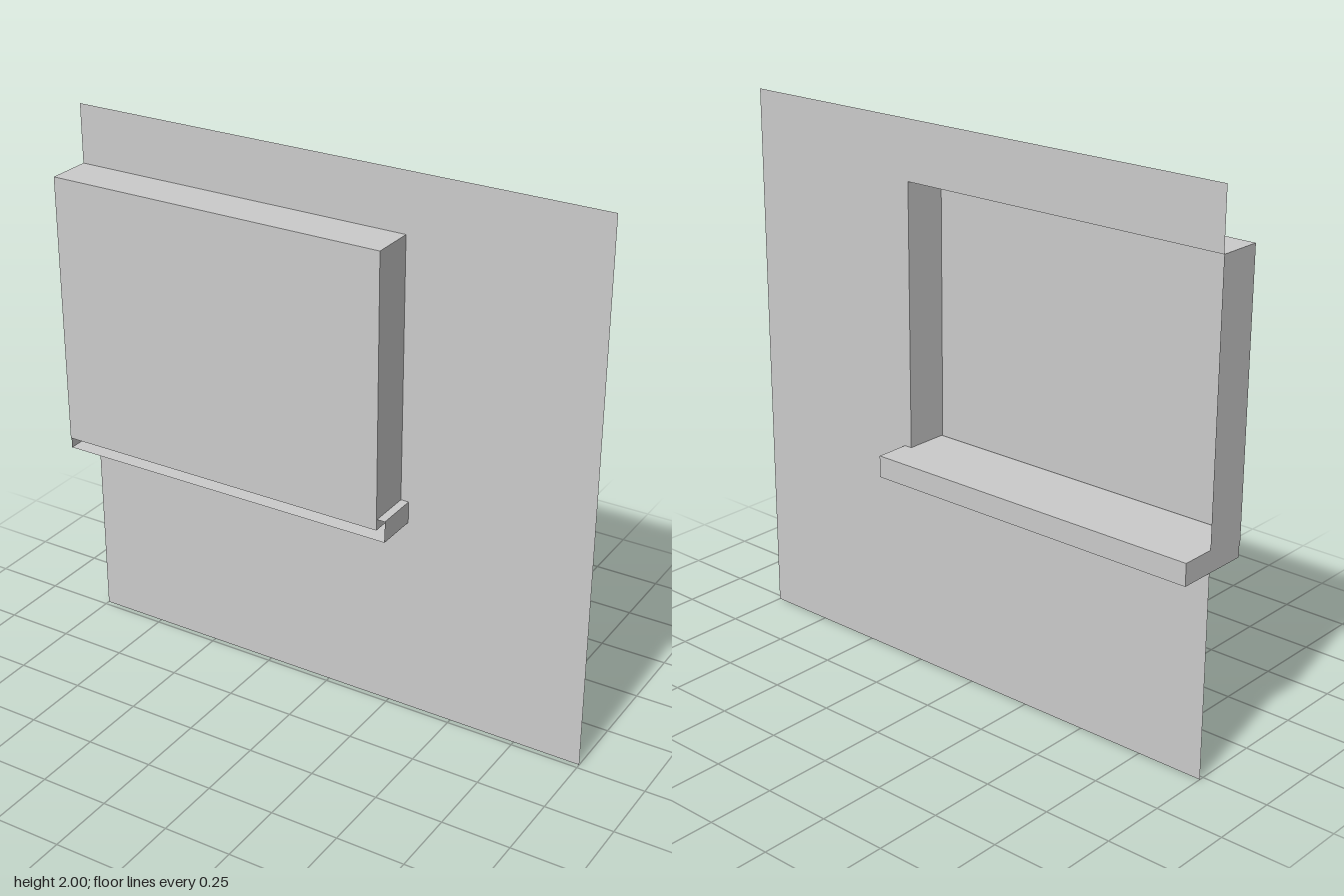
import * as THREE from 'three';

const material = new THREE.MeshStandardMaterial({ color: 0xcccccc, side: THREE.DoubleSide, flatShading: true });

// Recess opening and the planes in depth
const LEFT = -1, RIGHT = 0.285, BOTTOM = 0.785, TOP = 1.785;
const WALL_Z = -0.018, PANE_Z = 0.146;

// Flat rectangle, facing +z before rotation
function panel(name, w, h, pos, rot = [0, 0, 0]) {
  const mesh = new THREE.Mesh(new THREE.PlaneGeometry(w, h), material);
  mesh.name = name;
  mesh.position.set(...pos);
  mesh.rotation.set(...rot);
  return mesh;
}

// Panels around a box; `open` lists the sides left out
function panelBox(name, [x0, x1], [y0, y1], [z0, z1], open) {
  const group = new THREE.Group();
  group.name = name;
  const w = x1 - x0, h = y1 - y0, d = z1 - z0;
  const x = (x0 + x1) / 2, y = (y0 + y1) / 2, z = (z0 + z1) / 2, q = Math.PI / 2;
  const sides = {
    Front: [w, h, [x, y, z1]],
    Back: [w, h, [x, y, z0], [0, 2 * q, 0]],
    Left: [d, h, [x1, y, z], [0, q, 0]],
    Right: [d, h, [x0, y, z], [0, -q, 0]],
    Top: [w, d, [x, y1, z], [-q, 0, 0]],
    Bottom: [w, d, [x, y0, z], [q, 0, 0]],
  };
  for (const [side, args] of Object.entries(sides)) {
    if (!open.includes(side)) group.add(panel(name + side, ...args));
  }
  return group;
}

export function createModel() {
  const model = new THREE.Group();
  model.name = 'windowWall';

  // Thin wall sheet, notched by the opening that reaches its edge
  const outline = [
    [-1, 0], [1, 0], [1, 2], [-1, 2],
    [LEFT, TOP], [RIGHT, TOP], [RIGHT, BOTTOM], [LEFT, BOTTOM],
  ].map(([x, y]) => new THREE.Vector2(x, y));
  const wall = new THREE.Mesh(new THREE.ShapeGeometry(new THREE.Shape(outline)), material);
  wall.name = 'wall';
  wall.position.z = WALL_Z;
  model.add(wall);

  // Window recess: reveals and pane, open to the back
  model.add(panelBox('recess', [LEFT, RIGHT], [BOTTOM, TOP], [WALL_Z, PANE_Z], ['Back']));

  // Sill running through the opening, open at its front end
  model.add(panelBox('sill', [-1, 0.315], [0.745, 0.825], [-0.146, 0.142], ['Front']));

  return model;
}
